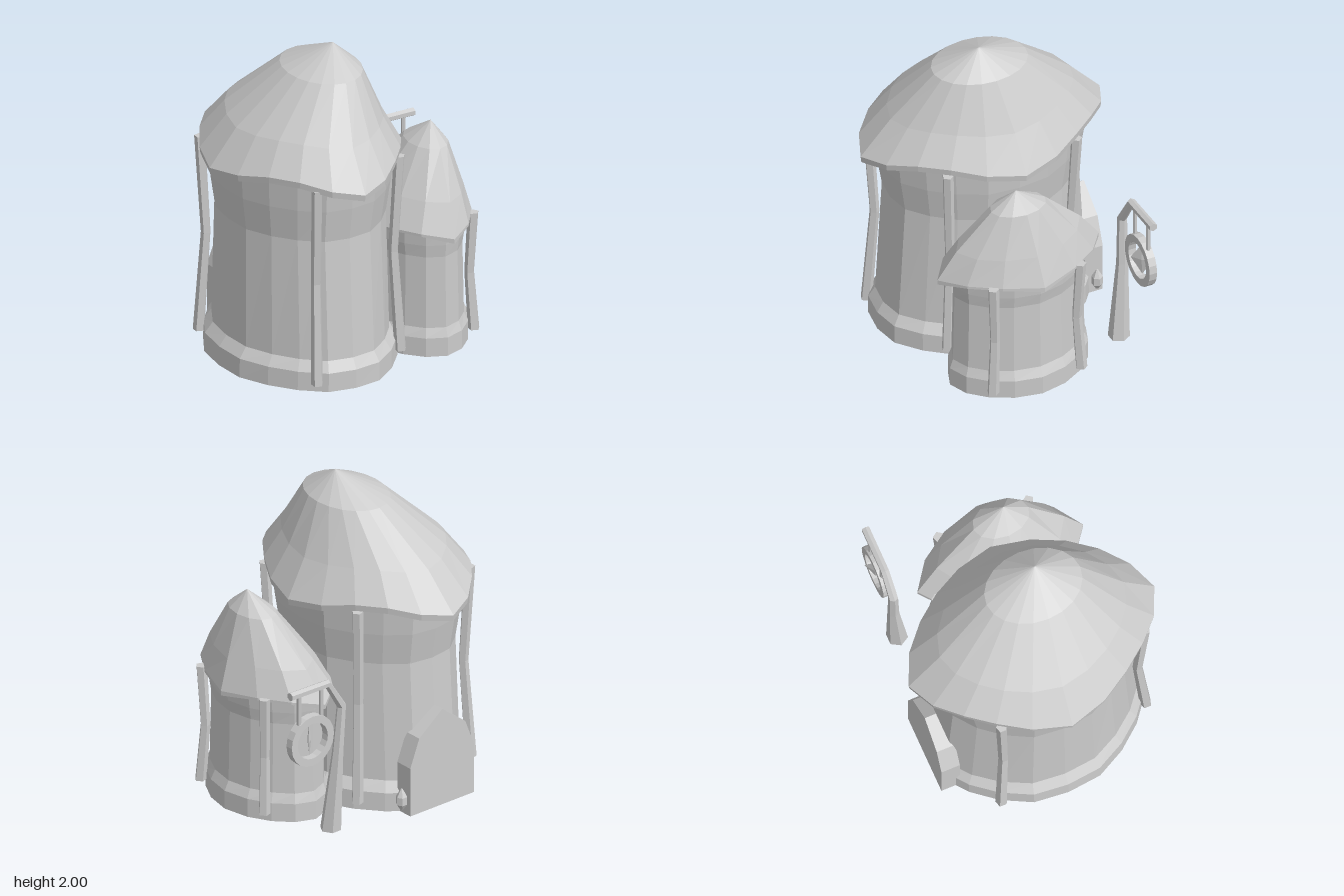
import * as THREE from 'three';

const stone = new THREE.MeshStandardMaterial({ color: 0xcccccc, flatShading: true, side: THREE.DoubleSide });
stone.name = 'plainGrey';

// Skin a list of equal-sized closed rings of points, with optional end caps
function loft(rings, capStart = false, capEnd = false) {
  const n = rings[0].length, pos = [], index = [];
  rings.forEach(r => r.forEach(p => pos.push(...p)));
  for (let k = 0; k < rings.length - 1; k++) {
    for (let i = 0; i < n; i++) {
      const a = k * n + i, b = k * n + (i + 1) % n;
      index.push(a, a + n, b, b, a + n, b + n);
    }
  }
  const last = (rings.length - 1) * n;
  for (let i = 1; i < n - 1; i++) {
    if (capStart) index.push(0, i, i + 1);
    if (capEnd) index.push(last, last + i + 1, last + i);
  }
  const g = new THREE.BufferGeometry();
  g.setAttribute('position', new THREE.Float32BufferAttribute(pos, 3));
  g.setIndex(index);
  g.computeVertexNormals();
  return g;
}

// Horizontal oval; mod scales the radius and wave the height, repeating per quarter
function oval(n, cx, y, cz, rx, rz, mod = [1], wave = [0]) {
  return Array.from({ length: n }, (_, i) => {
    const a = i / n * Math.PI * 2, m = mod[i % mod.length];
    return [cx + Math.cos(a) * rx * m, y + wave[i % wave.length], cz + Math.sin(a) * rz * m];
  });
}

function add(parent, name, geometry, x = 0, y = 0, z = 0) {
  const m = new THREE.Mesh(geometry, stone);
  m.name = name;
  m.position.set(x, y, z);
  parent.add(m);
  return m;
}

// Five-sided post, pinched in towards the tower axis at mid height
function post(parent, name, cx, cz, dx, dz, y0, ym, y1) {
  const ring = (y, s, r) => oval(5, cx + dx * s, y, cz + dz * s, r, r);
  add(parent, name, loft([ring(y0, 1, 0.037), ring(ym, 0.93, 0.031), ring(y1, 0.99, 0.035)], true, true));
}

export function createModel() {
  const group = new THREE.Group();
  group.name = 'twinTowerHut';

  // Main tower: flared foot, waisted wall, drooping oval roof
  const main = new THREE.Group();
  main.name = 'mainTower';
  group.add(main);
  const wallMod = [0.99, 1, 0.97, 0.97, 1];
  const mainWall = [[0, 0.565, 0.695], [0.12, 0.56, 0.695], [0.185, 0.51, 0.655],
    [0.95, 0.5, 0.61], [1.16, 0.53, 0.645], [1.35, 0.545, 0.665]];
  add(main, 'mainWall', loft(mainWall.map(([y, rx, rz]) => oval(20, -0.25, y, 0, rx, rz, wallMod))));
  const roofMod = [1, 0.946, 0.9, 0.9, 0.946], roofWave = [0, 0.03, 0.07, 0.07, 0.03];
  add(main, 'mainRoof', loft([
    oval(20, -0.25, 1.34, 0, 0.52, 0.64, wallMod),
    oval(20, -0.25, 1.27, 0, 0.615, 0.795, roofMod, roofWave),
    oval(20, -0.25, 1.31, 0, 0.62, 0.80, roofMod, roofWave),
    oval(20, -0.23, 1.54, 0.01, 0.465, 0.6, roofMod.map(m => (m + 1) / 2), roofWave.map(w => w / 3)),
    oval(20, -0.14, 1.85, 0.06, 0.23, 0.305),
    oval(20, -0.08, 2.0, 0.095, 0, 0),
  ]));
  [[0.44, 0.44], [0.44, -0.43], [-0.47, -0.4], [-0.24, 0.64]].forEach(([dx, dz]) =>
    post(main, 'mainPost', -0.25, 0, dx, dz, 0.055, 0.7, 1.33));

  // Small tower
  const small = new THREE.Group();
  small.name = 'sideTower';
  group.add(small);
  const smallMod = [1, 0.97, 0.95, 0.97];
  const smallWall = [[0, 0.33, 0.455], [0.12, 0.33, 0.455], [0.18, 0.3, 0.435],
    [0.64, 0.29, 0.425], [0.72, 0.305, 0.435], [0.84, 0.315, 0.445]];
  add(small, 'sideWall', loft(smallWall.map(([y, rx, rz]) => oval(16, 0.45, y, 0.1, rx, rz, smallMod))));
  const capMod = [1, 0.9, 0.9], capWave = [0, 0.035, 0.035];
  add(small, 'sideRoof', loft([
    oval(12, 0.45, 0.83, 0.1, 0.29, 0.42),
    oval(12, 0.45, 0.77, 0.1, 0.36, 0.54, capMod, capWave),
    oval(12, 0.45, 0.80, 0.1, 0.36, 0.54, capMod, capWave.map(w => w * 0.6)),
    oval(12, 0.48, 0.99, 0.115, 0.265, 0.415, [1, 0.93, 0.93]),
    oval(12, 0.53, 1.25, 0.14, 0.12, 0.18),
    oval(12, 0.55, 1.375, 0.165, 0, 0),
  ]));
  [[0.265, 0.3], [0.265, -0.29]].forEach(([dx, dz]) =>
    post(small, 'sidePost', 0.45, 0.1, dx, dz, 0.06, 0.43, 0.825));

  // Pointed door slab at the back, with a bud-shaped stone beside it
  const arch = new THREE.Shape([[-0.25, 0], [0.25, 0], [0.25, 0.32], [0.18, 0.5], [0, 0.64], [-0.18, 0.5], [-0.25, 0.32]]
    .map(p => new THREE.Vector2(...p)));
  add(group, 'door', new THREE.ExtrudeGeometry(arch, { depth: 0.12, bevelEnabled: false }), -0.25, 0, -0.695);
  add(group, 'doorStone', loft([[0.04, 0.012], [0.075, 0.035], [0.125, 0.035], [0.175, 0.006]]
    .map(([y, r]) => oval(6, 0.025, y, -0.645, r, r)), true, true));

  // Bent sign post with a tapering trunk and a side arm
  const sign = new THREE.Group();
  sign.name = 'hangingSign';
  group.add(sign);
  const bar = (cx, cy, cz, r, tilt) => Array.from({ length: 6 }, (_, i) => {
    const a = i / 6 * Math.PI * 2, u = Math.cos(a) * r;
    return [cx + u * Math.cos(tilt), cy - u * Math.sin(tilt), cz + Math.sin(a) * r];
  });
  add(sign, 'signPost', loft([
    bar(0.5, 0.03, -0.55, 0.066, 0), bar(0.475, 0.55, -0.585, 0.036, 0),
    bar(0.455, 0.86, -0.595, 0.03, 0.25), bar(0.57, 1.045, -0.6, 0.027, 1.1),
    bar(0.86, 1.05, -0.6, 0.027, Math.PI / 2),
  ], true, true));
  [0.615, 0.79].forEach(x =>
    add(sign, 'hanger', new THREE.CylinderGeometry(0.014, 0.014, 0.2, 6), x, 0.94, -0.6));

  // Ring with a turned diamond plate inside it
  const ring = new THREE.Shape().absarc(0.0, 0, 0.165, 0, Math.PI * 2);
  ring.holes.push(new THREE.Path().absarc(0, 0, 0.117, 0, Math.PI * 2, true));
  add(sign, 'signRing', new THREE.ExtrudeGeometry(ring, { depth: 0.05, bevelEnabled: false, curveSegments: 10 }), 0.7, 0.71, -0.622);
  const diamond = add(sign, 'signDiamond', new THREE.OctahedronGeometry(1), 0.71, 0.72, -0.6);
  diamond.scale.set(0.072, 0.11, 0.012);
  diamond.rotation.y = Math.PI / 4;

  return group;
}
